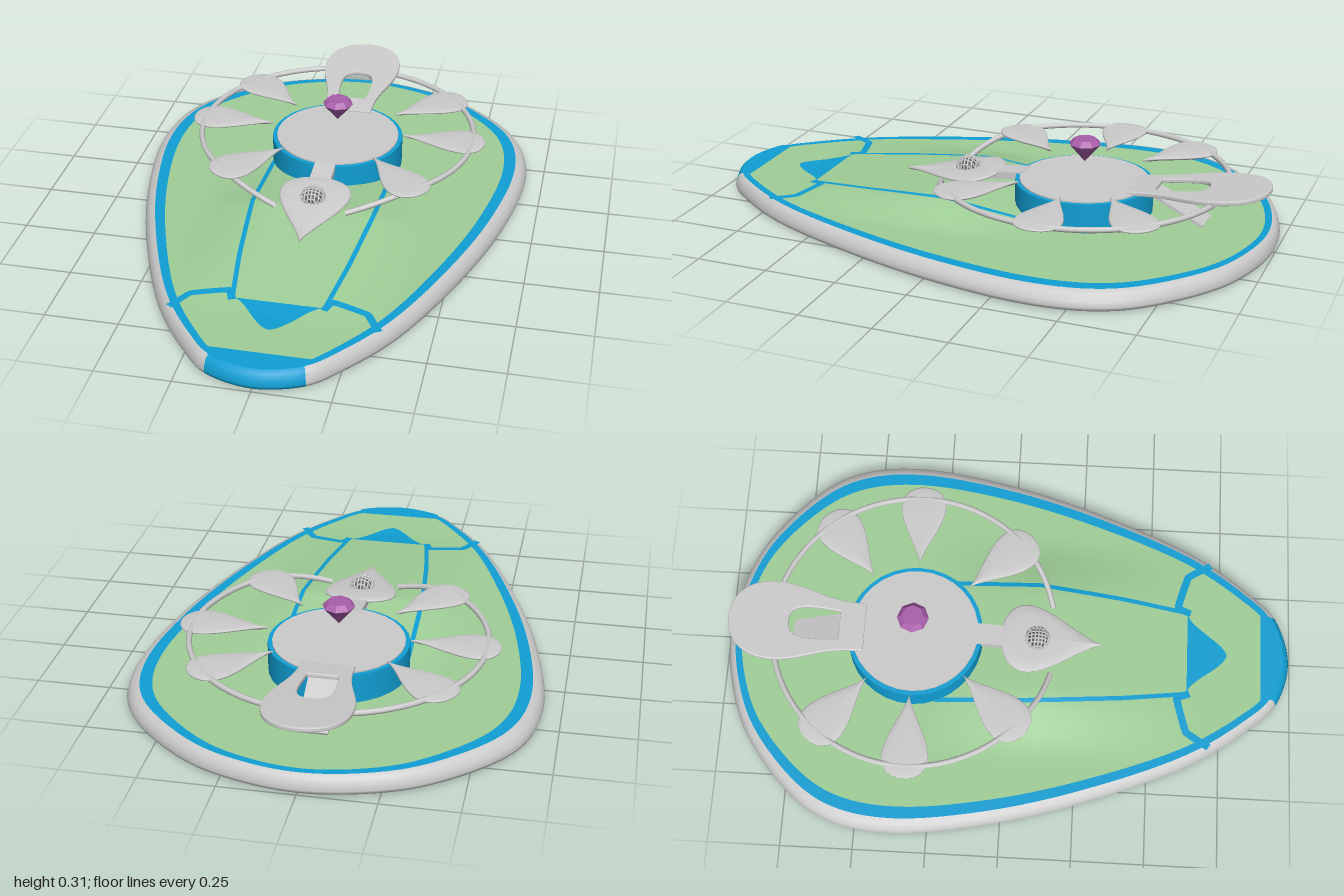
import * as THREE from 'three';

const mat = (color) => new THREE.MeshStandardMaterial({ color, side: THREE.DoubleSide });
const GREY = mat(0xcccccc), BLUE = mat(0x109fd4), GREEN = mat(0xa0cf98), PURPLE = mat(0xa95fab);
const HUB_Z = -0.33;
const clamp = THREE.MathUtils.clamp;

function add(parent, name, geo, material, x = 0, y = 0, z = 0) {
  const mesh = new THREE.Mesh(geo, material);
  mesh.name = name;
  mesh.position.set(x, y, z);
  parent.add(mesh);
  return mesh;
}

// Skin over equal rings of [x, y, z]; from..to picks the columns to cover
function loft(rings, from = 0, to = rings[0].length) {
  const n = rings[0].length, index = [];
  for (let r = 0; r < rings.length - 1; r++) {
    for (let k = from; k < to; k++) {
      const i = (k + n) % n, j = (k + 1 + n) % n;
      const a = r * n + i, b = r * n + j, c = b + n, d = a + n;
      index.push(a, b, c, a, c, d);
    }
  }
  const geo = new THREE.BufferGeometry();
  geo.setAttribute('position', new THREE.Float32BufferAttribute(rings.flat(2), 3));
  geo.setIndex(index);
  geo.computeVertexNormals();
  return geo;
}

// Egg-shaped plan outline, starting at the front tip
const half = [[0, 0.995], [0.16, 0.95], [0.25, 0.86], [0.39, 0.66], [0.55, 0.28], [0.645, -0.05],
  [0.69, -0.37], [0.665, -0.57], [0.59, -0.71], [0.37, -0.9], [0.18, -0.975], [0, -1]];
const whole = [...half, ...half.slice(1, -1).reverse().map(([x, z]) => [-x, z])];
const outlineCurve = new THREE.CatmullRomCurve3(whole.map(([x, z]) => new THREE.Vector3(x, 0, z)), true);
const N = whole.length * 6, NOSE = 6;
const outline = Array.from({ length: N }, (_, i) => outlineCurve.getPoint(i / N));

// Deck height: a soft ridge running from the hub to the nose
function deckY(x, z) {
  const along = z > 0.1 ? clamp((0.7 - z) / 0.6, 0, 1) : clamp((z + 0.3) / 0.4, 0, 1);
  return 0.064 + 0.05 * along * (1 - THREE.MathUtils.smoothstep(Math.abs(x), 0.17, 0.42));
}
const ring = (sx, sz, y) => outline.map((p) => [p.x * sx, y ?? deckY(p.x * sx, p.z * sz), p.z * sz]);

// Painted band lying on the deck along a path of [x, z]
function strip(path, width) {
  const curve = new THREE.CatmullRomCurve3(path.map(([x, z]) => new THREE.Vector3(x, 0, z)), false, 'catmullrom', 0.1);
  const rows = [];
  for (let i = 0; i <= 40; i++) {
    const t = i / 40, p = curve.getPoint(t), d = curve.getTangent(t), w = width(t) / 2;
    rows.push([-1, -0.5, 0, 0.5, 1].map((s) => {
      const x = p.x + d.z * w * s, z = p.z - d.x * w * s;
      return [x, deckY(x, z) + 0.004, z];
    }));
  }
  return loft(rows, 0, 4);
}

// Domed drop: round end at +z, point at -z
function teardrop(length, halfWidth, top, bottom) {
  const profile = [[0, -bottom], [0.5, -bottom * 0.85], [0.85, -bottom * 0.5], [1, -0.002], [1, 0.002],
    [0.95, top * 0.6], [0.7, top * 0.9], [0, top]];
  return loft(profile.map(([s, y]) => Array.from({ length: 40 }, (_, i) => {
    const a = (i / 40) * Math.PI * 2;
    const x = Math.sin(a) * (1 + Math.cos(a)) * 0.5 * halfWidth / 0.65;
    return [x * s, y, length * (Math.cos(a) * 0.5 * s + 0.1 * (1 - s))];
  })));
}

function buildHull(model) {
  const rim = [ring(0.97, 0.98, 0), ring(0.995, 0.996, 0.006), ring(1, 1, 0.018), ring(0.993, 0.995, 0.036),
    ring(0.972, 0.987, 0.057), ring(0.94, 0.972, 0.064)];
  add(model, 'hullBottom', loft([ring(0, 0, 0), ring(0.97, 0.98, 0)]), GREY);
  add(model, 'hullRim', loft(rim, NOSE, N - NOSE), GREY);
  add(model, 'noseRim', loft(rim, -NOSE, NOSE), BLUE);
  add(model, 'deckBorder', loft([ring(0.94, 0.972, 0.064), ring(0.88, 0.95, 0.064)]), BLUE);
  const deck = Array.from({ length: 25 }, (_, i) => ring(0.88 * (1 - i / 24), 0.95 * (1 - i / 24)));
  add(model, 'deck', loft(deck), GREEN);

  // Nose cap
  const cap = [new THREE.Vector2(-0.16, 0.89), new THREE.Vector2(0.16, 0.89)];
  for (let i = NOSE; i >= -NOSE; i--) {
    const p = outline[(i + N) % N];
    cap.push(new THREE.Vector2(p.x * 0.97, p.z * 0.975));
  }
  add(model, 'noseCap', new THREE.ShapeGeometry(new THREE.Shape(cap)).rotateX(Math.PI / 2), BLUE, 0, 0.067, 0);

  // Deck stripes and arrow
  for (const s of [1, -1]) {
    add(model, 'ridgeStripe', strip([[0.22 * s, -0.25], [0.215 * s, 0.1], [0.185 * s, 0.4], [0.15 * s, 0.64]], () => 0.016), BLUE);
    add(model, 'cornerStripe', strip([[0.15 * s, 0.64], [0.17 * s, 0.595], [0.29 * s, 0.63], [0.34 * s, 0.71]], () => 0.026), BLUE);
  }
  add(model, 'deckArrow', strip([[0, 0.63], [0, 0.77]], (t) => 0.31 * (1 - t)), BLUE);
}

function buildHub(model) {
  add(model, 'hubDrum', new THREE.CylinderGeometry(0.237, 0.237, 0.11, 32), BLUE, 0, 0.11, HUB_Z);
  add(model, 'hubTop', new THREE.CylinderGeometry(0.222, 0.222, 0.02, 32), GREY, 0, 0.16, HUB_Z);
  // Floating gem
  const gem = [[0, 0.23], [0.055, 0.295], [0.038, 0.313], [0, 0.313]].map(([x, y]) => new THREE.Vector2(x, y));
  const material = PURPLE.clone();
  material.flatShading = true;
  add(model, 'gem', new THREE.LatheGeometry(gem, 8), material, 0, 0, HUB_Z);
}

function buildPetals(model) {
  for (const s of [1, -1]) {
    // Hoop, dipping toward the head
    const path = Array.from({ length: 25 }, (_, i) => {
      const a = 0.25 + (2.65 * i) / 24;
      const y = 0.186 - 0.06 * clamp((0.75 - a) / 0.55, 0, 1) ** 1.4;
      return new THREE.Vector3(s * 0.495 * Math.sin(a), y, HUB_Z + 0.495 * Math.cos(a));
    });
    add(model, 'hoop', new THREE.TubeGeometry(new THREE.CatmullRomCurve3(path), 60, 0.01, 8), GREY);
    for (const a of [0.74, Math.PI / 2, 2.25]) {
      const petal = add(model, 'petal', teardrop(0.3, 0.08, 0.008, 0.016), GREY,
        s * 0.39 * Math.sin(a), 0.187, HUB_Z + 0.39 * Math.cos(a));
      petal.rotation.y = s * a;
    }
  }
}

function buildHead(model) {
  const head = new THREE.Group();
  head.name = 'head';
  head.position.set(0, 0.134, 0.152);
  head.rotation.x = 0.12;
  model.add(head);
  add(head, 'headPlate', teardrop(0.365, 0.125, 0.012, 0.016), GREY).rotation.y = Math.PI;
  // Ribbed dome
  add(head, 'domeCore', new THREE.SphereGeometry(0.036, 20, 12), mat(0x555555), 0, 0.006, -0.055);
  for (let i = -3; i <= 3; i++) {
    const d = i * 0.012, r = Math.sqrt(0.042 ** 2 - d * d);
    const rib = new THREE.TorusGeometry(r, 0.003, 6, 16, Math.PI);
    add(head, 'domeRib', rib, GREY, 0, 0.008, -0.055 + d);
    add(head, 'domeCrossRib', rib, GREY, d, 0.008, -0.055).rotation.y = Math.PI / 2;
  }
  // Neck joining the hub
  add(model, 'neck', new THREE.BoxGeometry(0.075, 0.025, 0.12), GREY, 0, 0.152, -0.06).rotation.x = 0.12;
}

function buildTail(model) {
  const shape = new THREE.Shape().moveTo(-0.085, -0.03);
  shape.lineTo(0.085, -0.03);
  shape.bezierCurveTo(0.08, 0.12, 0.14, 0.17, 0.14, 0.28);
  shape.bezierCurveTo(0.14, 0.38, 0.08, 0.435, 0, 0.435);
  shape.bezierCurveTo(-0.08, 0.435, -0.14, 0.38, -0.14, 0.28);
  shape.bezierCurveTo(-0.14, 0.17, -0.08, 0.12, -0.085, -0.03);
  const hole = new THREE.Path().moveTo(-0.055, 0.05);
  hole.bezierCurveTo(-0.065, 0.16, -0.075, 0.235, 0, 0.235);
  hole.bezierCurveTo(0.075, 0.235, 0.065, 0.16, 0.055, 0.05);
  hole.closePath();
  shape.holes.push(hole);
  const geo = new THREE.ExtrudeGeometry(shape, {
    depth: 0.008, bevelThickness: 0.004, bevelSize: 0.004, bevelSegments: 2, curveSegments: 16,
  }).rotateX(-Math.PI / 2);
  add(model, 'tail', geo, GREY, 0, 0.168, -0.54).rotation.x = 0.1;
  // Sloping brace under the tail
  add(model, 'tailBrace', new THREE.BoxGeometry(0.1, 0.01, 0.22), GREY, 0, 0.122, -0.665).rotation.x = -0.46;
}

export function createModel() {
  const model = new THREE.Group();
  model.name = 'hoverBoard';
  buildHull(model);
  buildHub(model);
  buildPetals(model);
  buildHead(model);
  buildTail(model);
  return model;
}
